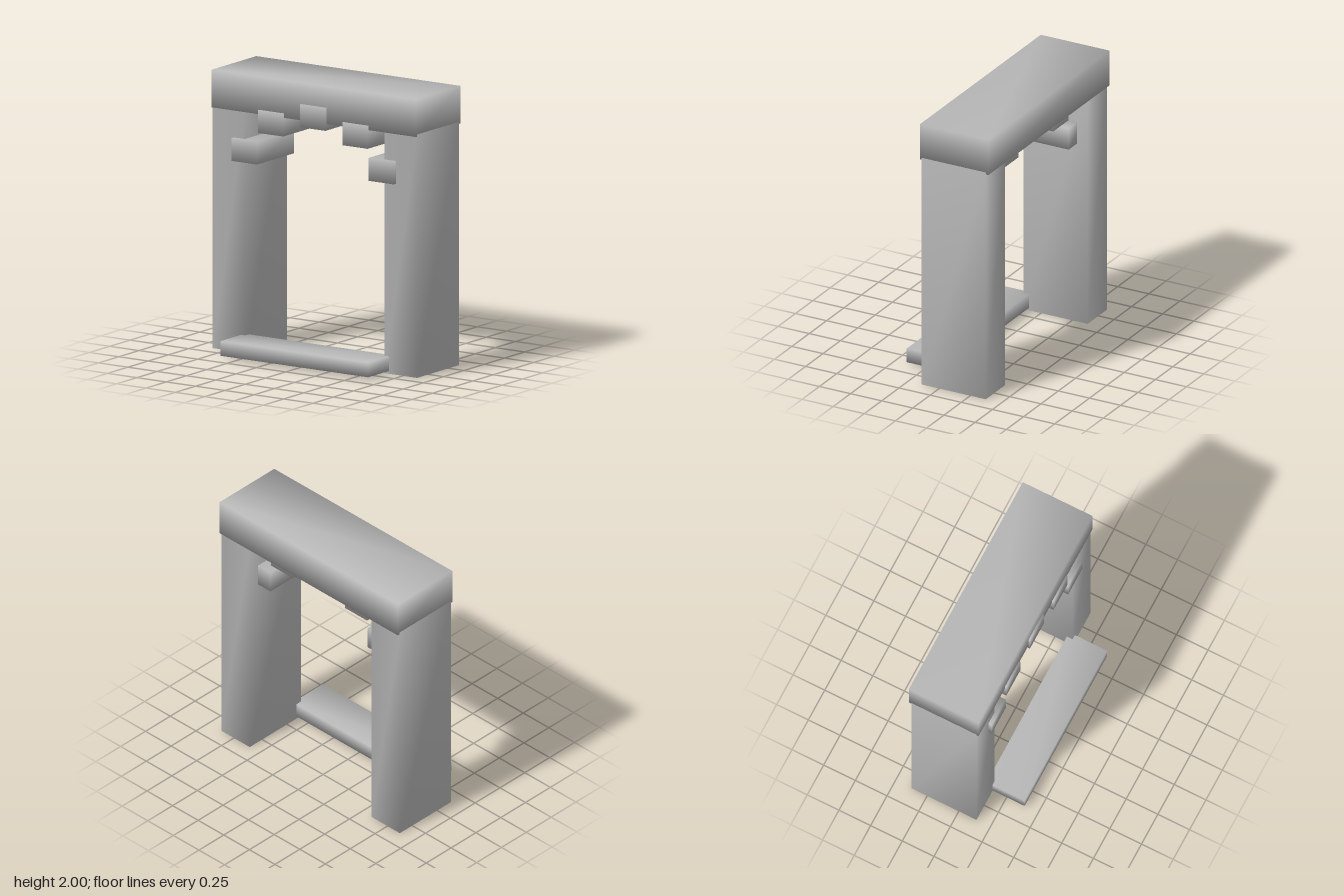
import * as THREE from 'three';
import { mergeVertices } from 'three/addons/utils/BufferGeometryUtils.js';

const stone = new THREE.MeshStandardMaterial({ color: 0xb8b8b8 });
stone.name = 'greyStone';

// Box between two corners, with shared corners so the shading runs softly over the edges
function block(name, [x0, x1], [y0, y1], [z0, z1]) {
  let geometry = new THREE.BoxGeometry(x1 - x0, y1 - y0, z1 - z0);
  geometry.deleteAttribute('normal');
  geometry.deleteAttribute('uv');
  geometry = mergeVertices(geometry);
  geometry.computeVertexNormals();
  const mesh = new THREE.Mesh(geometry, stone);
  mesh.name = name;
  mesh.position.set((x0 + x1) / 2, (y0 + y1) / 2, (z0 + z1) / 2);
  return mesh;
}

export function createModel() {
  const group = new THREE.Group();
  group.name = 'stoneGateway';

  // Beam across the top and threshold step in front
  group.add(block('lintel', [-0.87, 0.87], [1.73, 2], [-0.395, 0.155]));
  group.add(block('step', [-0.63, 0.63], [0.02, 0.125], [0.095, 0.395]));

  // Two side pillars
  for (const [side, s] of [['left', 1], ['right', -1]]) {
    const x = s * 0.733;
    group.add(block(side + 'Pillar', [x - 0.138, x + 0.138], [0, 1.745], [-0.375, 0.14]));
  }

  // Arch stones: centre x, centre y
  const archStones = [[-0.583, 1.452], [-0.36, 1.68], [0, 1.765], [0.36, 1.68], [0.583, 1.452]];
  archStones.forEach(([x, y], i) => {
    group.add(block('archStone' + (i + 1), [x - 0.108, x + 0.108], [y - 0.082, y + 0.082], [-0.29, 0.167]));
  });

  return group;
}
